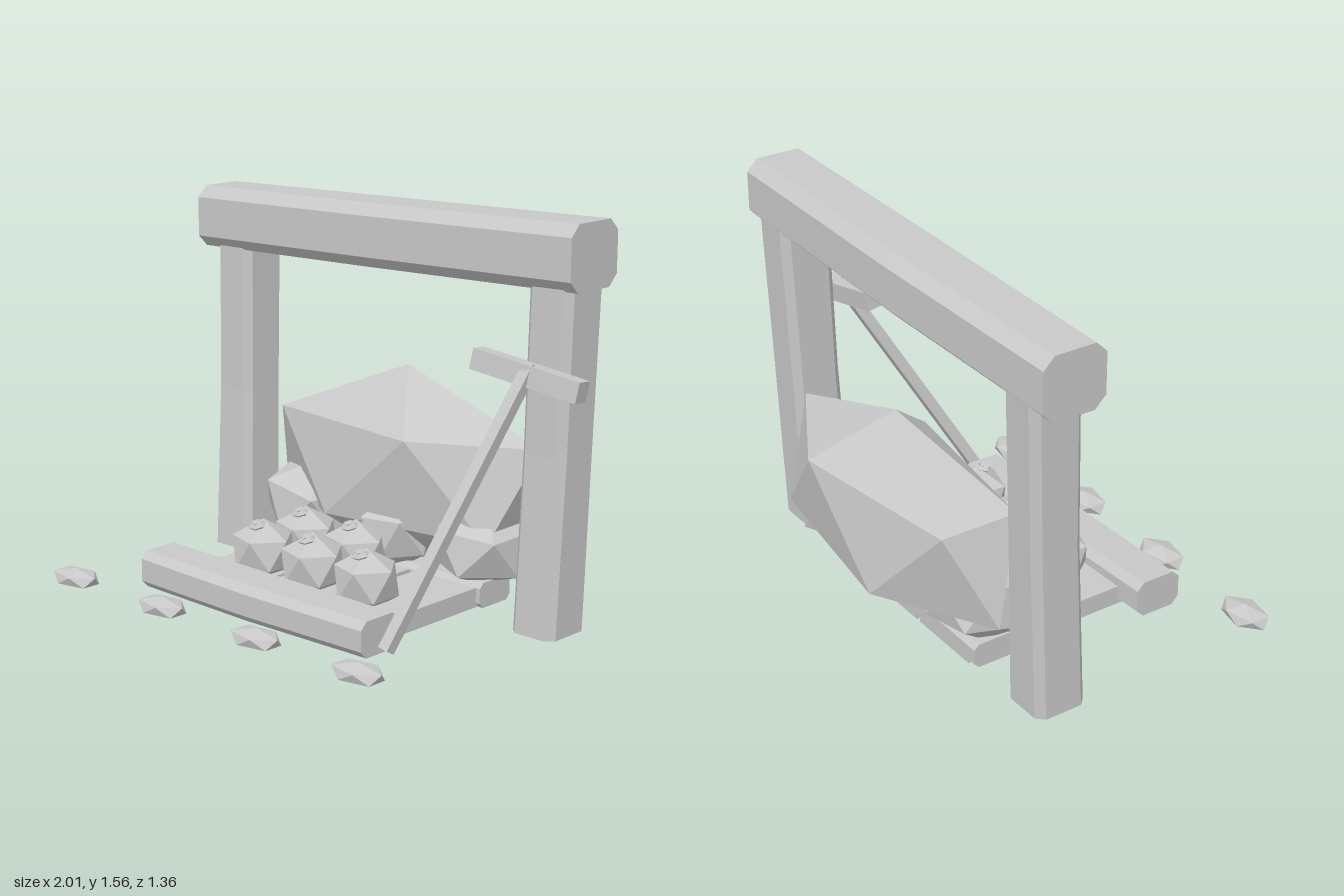
import * as THREE from 'three';
import { ConvexGeometry } from 'three/addons/geometries/ConvexGeometry.js';

const stone = new THREE.MeshStandardMaterial({ color: 0xc8c8c8, flatShading: true });
stone.name = 'paleGrey';

function add(parent, name, geometry, position = [0, 0, 0], rotation = [0, 0, 0]) {
  const mesh = new THREE.Mesh(geometry, stone);
  mesh.name = name;
  mesh.position.set(...position);
  mesh.rotation.set(...rotation);
  parent.add(mesh);
  return mesh;
}

// Twenty-sided rock standing on a pole, with two staggered rings of five corners
function rock(rx, ry, rz) {
  const points = [new THREE.Vector3(0, ry, 0), new THREE.Vector3(0, -ry, 0)];
  for (let i = 0; i < 10; i++) {
    const a = (i * Math.PI) / 5;
    const h = i % 2 ? -0.447 : 0.447;
    points.push(new THREE.Vector3(0.894 * rx * Math.cos(a), h * ry, 0.894 * rz * Math.sin(a)));
  }
  return new ConvexGeometry(points);
}

// Chamfered timber along y; stations are [y, centre x, centre z, half width, half depth]
function timber(stations, c) {
  const rings = stations.map(([y, cx, cz, w, d]) => [
    [w, c - d], [w, d - c], [w - c, d], [c - w, d],
    [-w, d - c], [-w, c - d], [c - w, -d], [w - c, -d],
  ].map(([x, z]) => [cx + x, y, cz + z]));
  const out = [];
  const tri = (...corners) => corners.forEach((p) => out.push(...p));
  for (let s = 0; s < rings.length - 1; s++) {
    for (let i = 0; i < 8; i++) {
      const j = (i + 1) % 8, lo = rings[s], hi = rings[s + 1];
      tri(lo[i], hi[i], lo[j]);
      tri(lo[j], hi[i], hi[j]);
    }
  }
  const first = rings[0], last = rings[rings.length - 1];
  for (let i = 1; i < 7; i++) {
    tri(first[0], first[i], first[i + 1]);
    tri(last[0], last[i + 1], last[i]);
  }
  const geometry = new THREE.BufferGeometry();
  geometry.setAttribute('position', new THREE.Float32BufferAttribute(out, 3));
  geometry.computeVertexNormals();
  return geometry;
}

// Timber lying along x; stations are [x, centre y, centre z, half height, half depth]
function lyingTimber(stations, c) {
  const turned = stations.map(([x, y, z, h, d]) => [x, -y, z, h, d]);
  return timber(turned, c).rotateZ(-Math.PI / 2);
}

// Square bar running between two points
function bar(parent, name, from, to, width, depth) {
  const a = new THREE.Vector3(...from), b = new THREE.Vector3(...to);
  const mesh = add(parent, name, new THREE.BoxGeometry(width, a.distanceTo(b), depth));
  mesh.position.copy(a).add(b).multiplyScalar(0.5);
  mesh.quaternion.setFromUnitVectors(new THREE.Vector3(0, 1, 0), b.sub(a).normalize());
}

export function createModel() {
  const model = new THREE.Group();
  model.name = 'mineEntrance';

  // Timber frame
  const frame = new THREE.Group();
  frame.name = 'timberFrame';
  model.add(frame);
  add(frame, 'lintel', lyingTimber([
    [-1, 1.39, -0.335, 0.125, 0.13],
    [-0.07, 1.41, -0.34, 0.125, 0.14],
    [0.93, 1.435, -0.34, 0.125, 0.137],
  ], 0.045));
  add(frame, 'rightPost', timber([
    [0.005, -0.825, -0.3, 0.105, 0.108],
    [0.69, -0.835, -0.33, 0.095, 0.105],
    [1.32, -0.845, -0.35, 0.095, 0.108],
  ], 0.03));
  add(frame, 'leftPost', timber([
    [0, 0.79, -0.3, 0.1, 0.11],
    [0.69, 0.795, -0.33, 0.1, 0.105],
    [1.34, 0.8, -0.35, 0.1, 0.11],
  ], 0.03));

  // Boulder blocking the opening, and the rubble around its foot
  add(model, 'boulder', rock(0.754, 0.416, 0.308), [-0.024, 0.464, -0.42]);
  add(model, 'rightRubble', rock(0.235, 0.18, 0.22), [-0.45, 0.265, -0.33], [0.15, 0.3, -0.2]);
  add(model, 'middleRubble', rock(0.17, 0.17, 0.17), [0.03, 0.24, -0.3], [0.1, 0.5, 0]);
  add(model, 'leftRubble', rock(0.225, 0.17, 0.235), [0.41, 0.25, -0.36], [0.1, 0.6, -0.15]);

  // Plank platform with a heavy front sill and a rear cross beam
  const platform = new THREE.Group();
  platform.name = 'platform';
  model.add(platform);
  for (const [x, width] of [[-0.345, 0.33], [-0.01, 0.3], [0.325, 0.31]]) {
    add(platform, 'plank', new THREE.BoxGeometry(width, 0.078, 0.73), [x, 0.067, -0.065]);
  }
  add(platform, 'frontSill', lyingTimber([
    [-0.63, 0.1, 0.37, 0.075, 0.1],
    [-0.07, 0.09, 0.365, 0.073, 0.105],
    [0.53, 0.085, 0.35, 0.07, 0.1],
  ], 0.03));
  add(platform, 'rearBeam', lyingTimber([
    [-0.55, 0.075, -0.34, 0.05, 0.09],
    [0.5, 0.075, -0.34, 0.05, 0.09],
  ], 0.02));

  // Round charges with a small collar on top
  for (const [x, z] of [[-0.28, 0.14], [-0.01, 0.14], [0.27, 0.14], [-0.28, -0.1], [-0.01, -0.1]]) {
    const charge = new THREE.Group();
    charge.name = 'charge';
    charge.position.set(x, 0.185, z);
    model.add(charge);
    add(charge, 'chargeBody', rock(0.14, 0.127, 0.135));
    add(charge, 'chargeCollar', new THREE.TorusGeometry(0.025, 0.012, 4, 6),
      [0, 0.108, 0.035], [-Math.PI / 2 + 0.25, 0, 0]);
  }

  // Hammer leaning on the left post
  const hammer = new THREE.Group();
  hammer.name = 'hammer';
  model.add(hammer);
  bar(hammer, 'hammerHandle', [0.59, 0.05, 0.383], [0.78, 1.04, -0.18], 0.045, 0.045);
  bar(hammer, 'hammerHead', [0.545, 1.035, -0.155], [0.995, 0.967, -0.205], 0.08, 0.075);

  // Row of flat stones in front
  for (let i = 0; i < 4; i++) {
    add(model, 'steppingStone', rock(0.125, 0.04, 0.078), [-0.865 + i * 0.51, 0.05, 0.61]);
  }
  return model;
}
